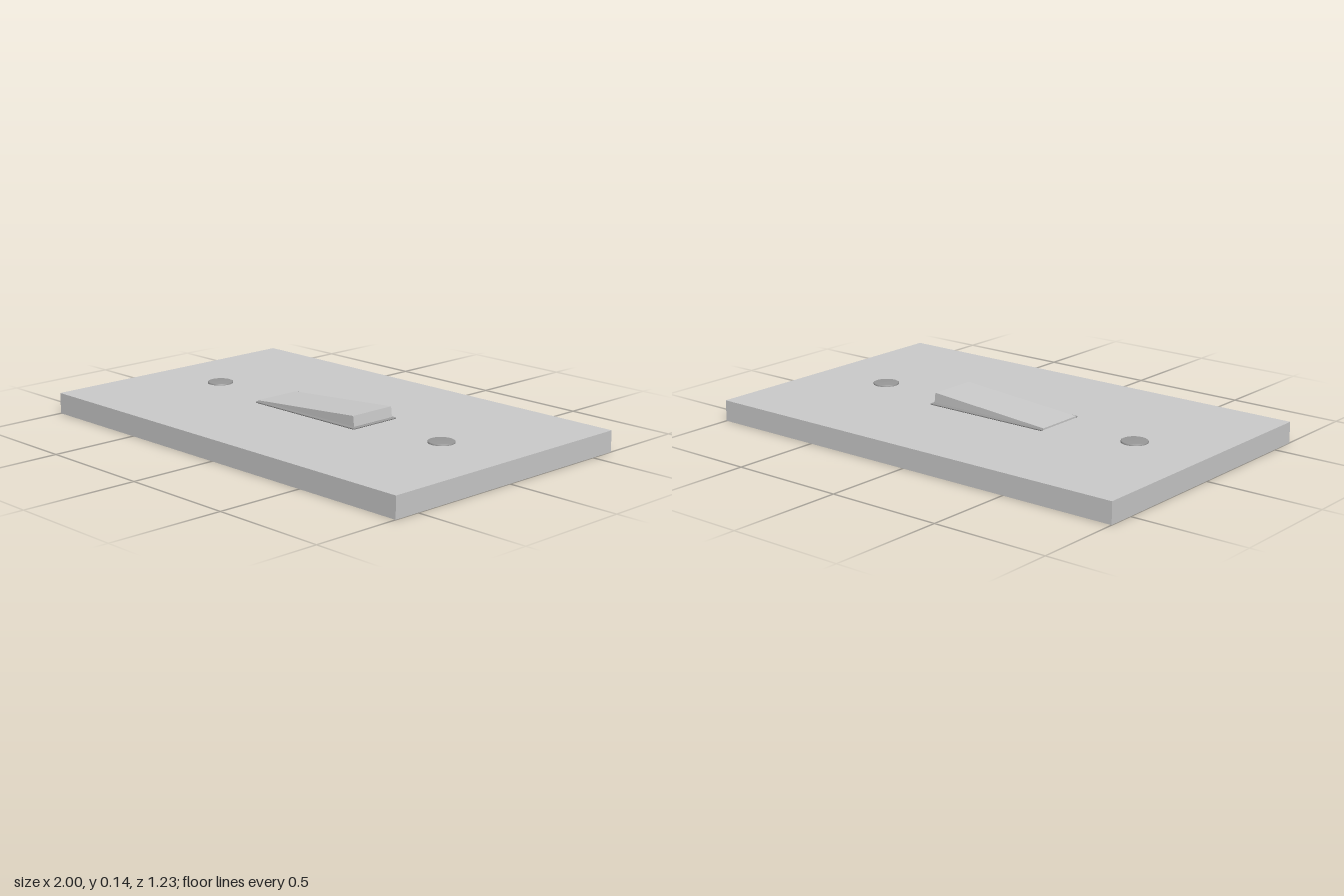
import * as THREE from 'three';

const light = new THREE.MeshStandardMaterial({ color: 0xcccccc, flatShading: true });
const dark = new THREE.MeshStandardMaterial({ color: 0x999999 });

const PLATE_TOP = 0.09;

function add(group, name, geometry, material, x = 0, y = 0, z = 0) {
  const mesh = new THREE.Mesh(geometry, material);
  mesh.name = name;
  mesh.position.set(x, y, z);
  group.add(mesh);
  return mesh;
}

export function createModel() {
  const group = new THREE.Group();
  group.name = 'lightSwitch';

  // Wall plate
  add(group, 'plate', new THREE.BoxGeometry(2, PLATE_TOP, 1.23), light, 0, PLATE_TOP / 2);

  // Thin bevelled surround under the rocker
  const rim = new THREE.Shape([
    [-0.288, -0.113], [0.28, -0.113], [0.28, 0.113], [-0.288, 0.113],
  ].map(([x, y]) => new THREE.Vector2(x, y)));
  const rimGeometry = new THREE.ExtrudeGeometry(rim, {
    depth: 0.003, bevelThickness: 0.003, bevelSize: 0.008, bevelSegments: 2,
  });
  rimGeometry.rotateX(-Math.PI / 2);
  add(group, 'surround', rimGeometry, dark, 0, PLATE_TOP + 0.002);

  // Wedge-shaped rocker, raised at its left end
  const wedge = new THREE.Shape([
    [-0.298, 0.092], [0.278, 0.092], [0.272, 0.142], [-0.298, 0.099],
  ].map(([x, y]) => new THREE.Vector2(x, y)));
  const wedgeGeometry = new THREE.ExtrudeGeometry(wedge, { depth: 0.216, bevelEnabled: false });
  add(group, 'rocker', wedgeGeometry, light, 0, 0, -0.108);

  // Low, slightly domed screw heads
  const head = new THREE.LatheGeometry([
    [0.055, 0], [0.055, 0.005], [0.052, 0.007], [0, 0.008],
  ].map(([r, y]) => new THREE.Vector2(r, y)), 32);
  for (const [name, x] of [['rightScrew', -0.665], ['leftScrew', 0.65]]) {
    add(group, name, head, dark, x, PLATE_TOP);
  }

  return group;
}
